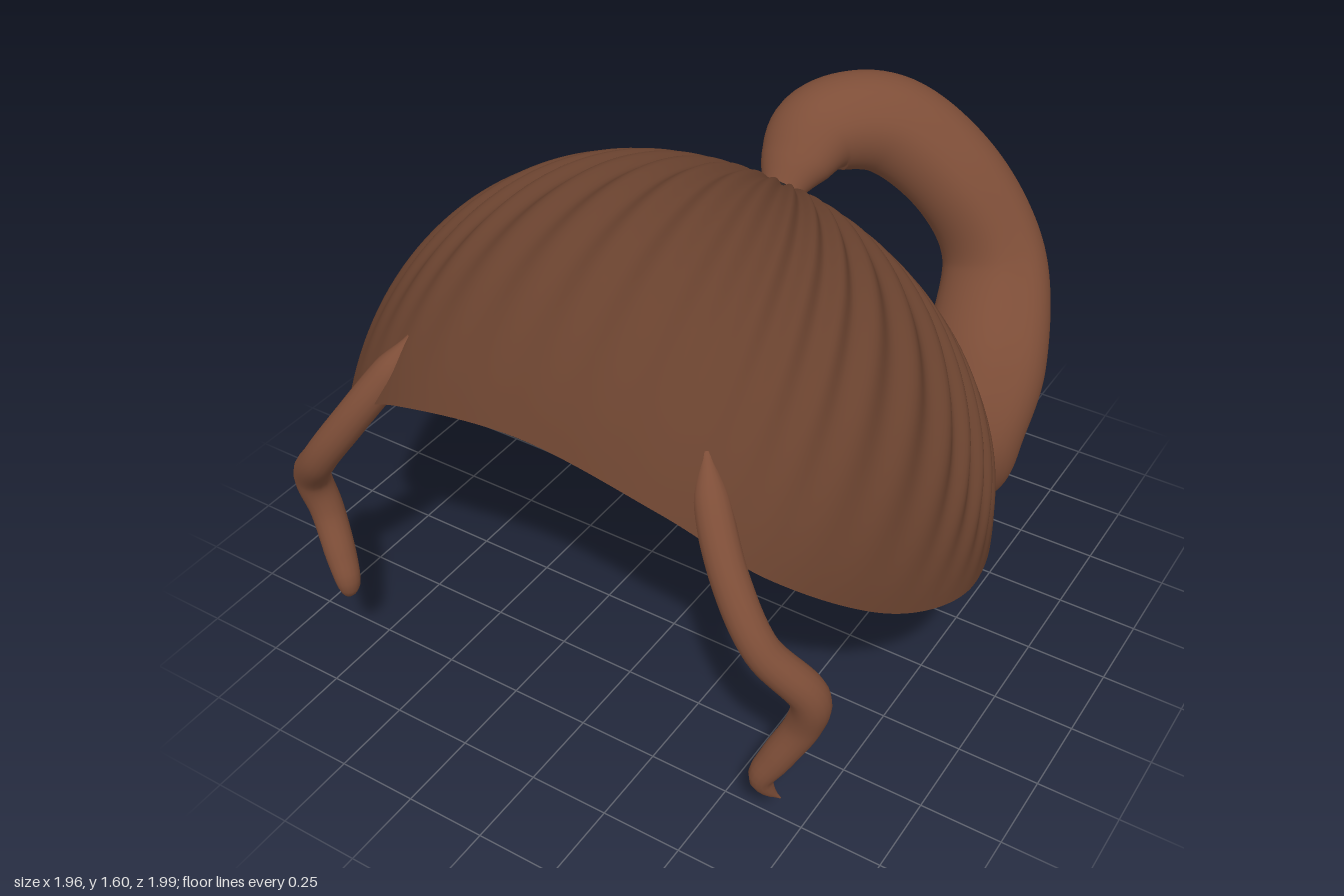
import * as THREE from 'three';

const V = (x, y, z) => new THREE.Vector3(x, y, z);
const hair = (color) => new THREE.MeshStandardMaterial({ color, side: THREE.DoubleSide });

// Grid surface from a function of (u, v), u running around and closed
function surface(nu, nv, fn) {
  const pos = [], idx = [];
  for (let j = 0; j <= nv; j++)
    for (let i = 0; i < nu; i++) pos.push(...fn(i / nu, j / nv).toArray());
  for (let j = 0; j < nv; j++)
    for (let i = 0; i < nu; i++) {
      const a = j * nu + i, b = j * nu + (i + 1) % nu;
      idx.push(a, a + nu, b, b, a + nu, b + nu);
    }
  const g = new THREE.BufferGeometry();
  g.setAttribute('position', new THREE.Float32BufferAttribute(pos, 3));
  g.setIndex(idx);
  g.computeVertexNormals();
  return g;
}

// Tapered lock: points are [x, y, z, radius, widening along x]
function lock(points, sides, steps, groove = () => 1) {
  const curve = new THREE.CatmullRomCurve3(points.map((p) => V(p[0], p[1], p[2])));
  const sizes = new THREE.SplineCurve(points.map((p) => new THREE.Vector2(p[3], p[4] ?? 1)));
  const frames = curve.computeFrenetFrames(steps, false);
  return surface(sides, steps, (u, v) => {
    const k = Math.round(v * steps);
    const t = curve.getUtoTmapping(v);
    const size = sizes.getPoint(t);
    const r = Math.max(0.001, size.x) * groove(u, v);
    const a = u * Math.PI * 2;
    const offset = frames.normals[k].clone().multiplyScalar(Math.cos(a) * r)
      .addScaledVector(frames.binormals[k], -Math.sin(a) * r);
    offset.x *= size.y;
    return curve.getPoint(t).add(offset);
  });
}

// Fluted cap: arcs swept over an ellipsoid from the tie point to a smooth rim
function capGeometry() {
  const flutes = 44;
  const centre = V(0, 0.65, 0.25);
  const toUnit = (p) => {
    const d = p.clone().sub(centre);
    return V(d.x / 0.97, d.y / 0.94, d.z / (d.z > 0 ? 0.85 : 0.79));
  };
  const fromUnit = (d) => V(d.x * 0.97, d.y * 0.94, d.z * (d.z > 0 ? 0.85 : 0.79)).add(centre);
  const half = [
    [0, 1.21, 0.94], [0.42, 1.14, 0.93], [0.68, 0.98, 0.84], [0.9, 0.75, 0.56],
    [0.98, 0.64, 0.27], [0.9, 0.58, -0.06], [0.7, 0.47, -0.26], [0.4, 0.345, -0.39], [0, 0.285, -0.45],
  ];
  const mirrored = half.slice(1, -1).reverse().map(([x, y, z]) => [-x, y, z]);
  const rim = new THREE.CatmullRomCurve3([...half, ...mirrored].map((p) => V(...p)), true);
  const pole = toUnit(V(0, 1.27, -0.35)), p0 = pole.clone().normalize();
  return surface(flutes * 10, 48, (u, v) => {
    const end = toUnit(rim.getPoint(u)), e0 = end.clone().normalize();
    const w = p0.angleTo(e0);
    const d = p0.clone().multiplyScalar(Math.sin((1 - v) * w))
      .addScaledVector(e0, Math.sin(v * w)).divideScalar(Math.sin(w));
    const front = Math.max(0, Math.cos(u * Math.PI * 2));
    const fade = 1 - THREE.MathUtils.smoothstep(v, 0.7 - 0.25 * front, 1);
    const wave = 0.5 * Math.cos(u * Math.PI * 2 * flutes) - 0.1;
    const depth = 0.026 * Math.sin(Math.min(1, v * 2.2) * Math.PI / 2) * fade;
    const radius = pole.length() * (1 - v * v) + end.length() * v * v;
    return fromUnit(d.multiplyScalar(radius + depth * wave));
  });
}

export function createModel() {
  const group = new THREE.Group();
  const capMat = hair(0x68412e), lockMat = hair(0x7e4e38);
  const add = (name, geo, mat) => {
    const m = new THREE.Mesh(geo, mat);
    m.name = name;
    group.add(m);
    return m;
  };

  add('hairCap', capGeometry(), capMat);

  // Ponytail, broad across the back, with shallow lengthwise grooves
  add('ponytail', lock([
    [0, 1.26, -0.35, 0.045, 1.2], [0, 1.34, -0.45, 0.09, 1.25], [0.02, 1.405, -0.57, 0.138, 1.05],
    [0.15, 1.39, -0.73, 0.155, 1], [0.35, 1.22, -0.83, 0.155, 1], [0.5, 0.97, -0.85, 0.15, 1.15],
    [0.57, 0.69, -0.70, 0.168, 1.2], [0.575, 0.47, -0.60, 0.15, 1.25], [0.565, 0.31, -0.61, 0.105, 1.5],
    [0.53, 0.17, -0.67, 0.06, 1.6], [0.49, 0.06, -0.72, 0.02, 1.5],
  ], 40, 110, (u, v) => 1 - 0.06 * Math.pow(Math.abs(Math.cos(u * Math.PI * 3 + v)), 8) * Math.sin(v * Math.PI)),
  lockMat);

  // Split ends of the ponytail
  [[0.465, 0.005, -0.73], [0.50, 0.03, -0.745], [0.525, 0.045, -0.715]].forEach(([x, y, z], i) => {
    add('ponytailTip' + (i + 1), lock([
      [0.545 + (x - 0.5) * 1.4, 0.2, -0.66, 0.03], [0.51 + (x - 0.5) * 1.2, 0.11, -0.70, 0.025], [x, y, z, 0.002],
    ], 10, 12), lockMat);
  });

  // Hair tie
  const tie = add('hairTie', new THREE.TorusGeometry(0.07, 0.012, 10, 40),
    new THREE.MeshStandardMaterial({ color: 0x2b2322 }));
  tie.position.set(0, 1.285, -0.355);
  tie.quaternion.setFromUnitVectors(V(0, 0, 1), V(0, 0.63, -0.78).normalize());

  // Curled face-framing locks
  for (const [name, s] of [['leftFrontLock', 1], ['rightFrontLock', -1]]) {
    add(name, lock([
      [0.465, 1.265, 0.79, 0.012], [0.51, 1.17, 0.84, 0.046], [0.61, 1.01, 0.915, 0.05],
      [0.72, 0.85, 0.945, 0.05], [0.83, 0.69, 0.885, 0.054], [0.81, 0.57, 0.87, 0.05],
      [0.75, 0.44, 0.90, 0.046], [0.715, 0.36, 0.92, 0.036], [0.73, 0.31, 0.91, 0.02], [0.755, 0.265, 0.885, 0.002],
    ].map(([x, y, z, r]) => [x * s, y, z, r]), 16, 60), lockMat);
  }
  return group;
}
